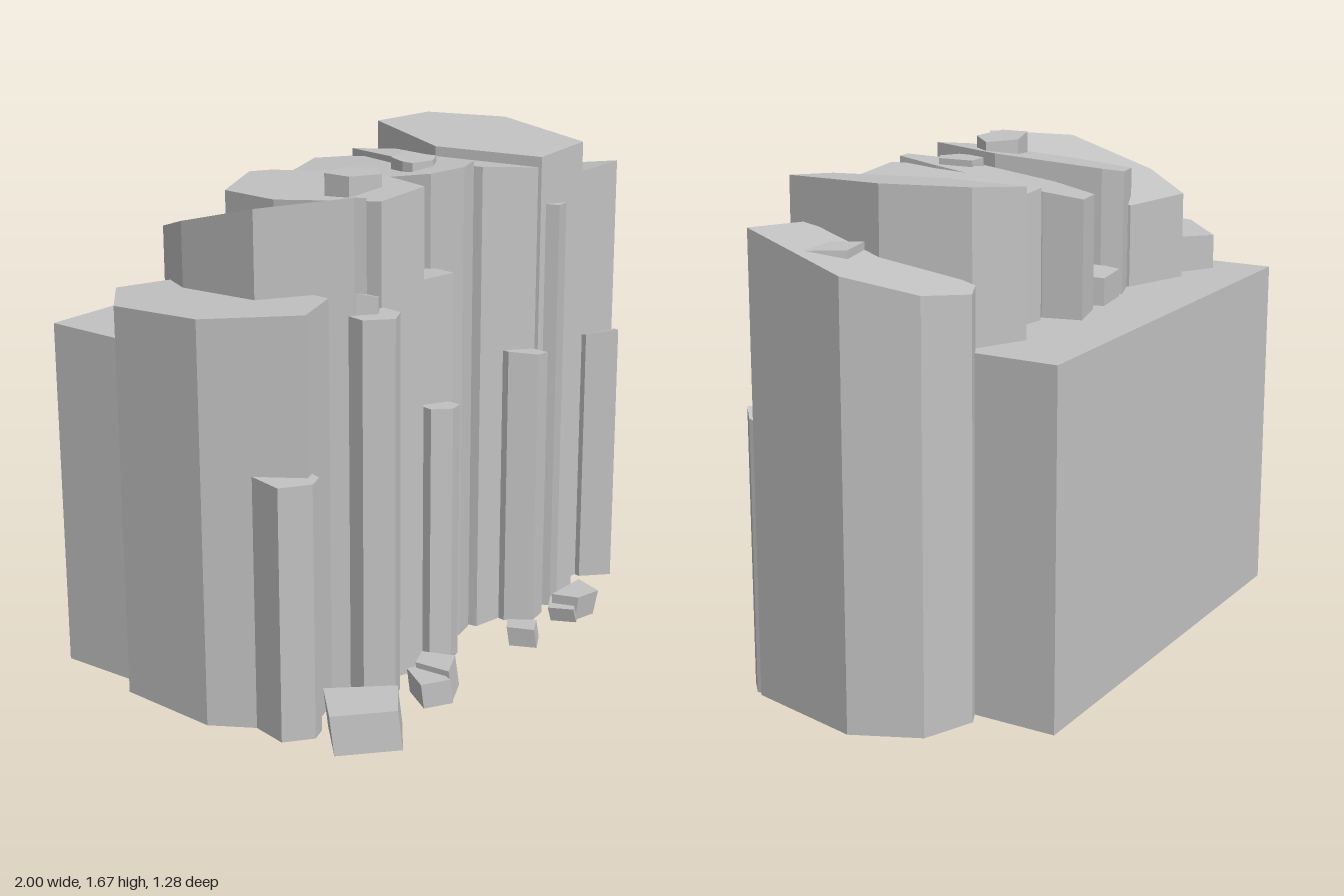
import * as THREE from 'three';

const stone = new THREE.MeshStandardMaterial({ color: 0xc2c2c2, flatShading: true });
stone.name = 'pale grey stone';

// Upright prism over a footprint of [x, z] corners. The top is a plane of height h at the
// first corner with slopes sx, sz; the foot has height base with slopes bx, bz.
// shift and grow move and scale the foot sideways for leaning boulders.
function prism(name, corners, { h, sx = 0, sz = 0, base = 0.01, bx = 0, bz = 0, shift = [0, 0], grow = 1 }) {
  const shape = new THREE.Shape(corners.map(([x, z]) => new THREE.Vector2(x, -z)));
  const geometry = new THREE.ExtrudeGeometry(shape, { depth: 1, bevelEnabled: false });
  geometry.rotateX(-Math.PI / 2);
  const [x0, z0] = corners[0];
  const cx = corners.reduce((s, c) => s + c[0], 0) / corners.length;
  const cz = corners.reduce((s, c) => s + c[1], 0) / corners.length;
  const p = geometry.attributes.position;
  for (let i = 0; i < p.count; i++) {
    const x = p.getX(i), z = p.getZ(i);
    if (p.getY(i) > 0.5) p.setY(i, h + sx * (x - x0) + sz * (z - z0));
    else {
      const y = base + bx * (x - x0) + bz * (z - z0);
      p.setXYZ(i, cx + (x - cx) * grow + shift[0], y, cz + (z - cz) * grow + shift[1]);
    }
  }
  geometry.computeVertexNormals();
  const mesh = new THREE.Mesh(geometry, stone);
  mesh.name = name;
  return mesh;
}

// Tall columns, left to right as seen from the front
const columns = [
  [[[-0.83, 0.33], [-1, 0.05], [-0.98, -0.31], [-0.8, -0.48], [-0.62, -0.37], [-0.61, 0.1], [-0.64, 0.26]],
    { h: 1.355, sx: 0.02, sz: 0.07 }],
  [[[-0.75, 0.06], [-0.715, -0.27], [-0.62, -0.44], [-0.38, -0.355], [-0.37, 0.1], [-0.43, 0.24], [-0.54, 0.28]],
    { h: 1.62, sx: -0.14, sz: 0.26 }],
  [[[-0.255, 0.33], [-0.42, 0.29], [-0.495, -0.08], [-0.455, -0.32], [-0.265, -0.385], [-0.23, -0.32], [-0.165, 0.05]],
    { h: 1.64, sx: 0.13, sz: 0.06 }],
  [[[-0.22, 0.27], [-0.28, 0], [-0.23, -0.39], [-0.08, -0.41], [-0.05, -0.31], [-0.035, 0.2], [-0.065, 0.305]],
    { h: 1.32, sz: 0.07 }],
  [[[0.035, 0.27], [-0.05, 0.2], [-0.095, 0.06], [-0.09, -0.22], [-0.02, -0.4], [0.135, -0.44], [0.165, -0.31], [0.14, 0.1], [0.115, 0.25]],
    { h: 1.645, sx: 0.1, sz: 0.12 }],
  [[[0.13, 0.275], [0.07, -0.04], [0.2, -0.325], [0.4, -0.285], [0.42, 0.1], [0.385, 0.32]],
    { h: 1.63, sx: -0.15, sz: 0.02 }],
  [[[0.6, 0.355], [0.39, 0.33], [0.31, -0.05], [0.45, -0.41], [0.625, -0.32], [0.71, -0.045]],
    { h: 1.65, sx: 0.11, sz: -0.03 }],
  [[[0.885, 0.315], [0.645, 0.275], [0.6, 0], [0.64, -0.34], [0.73, -0.38], [0.905, -0.31], [1, -0.09]],
    { h: 1.535, sx: 0.04, sz: 0.22 }],
];

// Short columns against the front: left, middle and right front corners, height, slopes
const buttresses = [
  [[-0.945, 0.31], [-0.86, 0.375], [-0.805, 0.355], [-0.775, 0.26], 0.845, 0.03, 0],
  [[-0.565, 0.33], [-0.49, 0.4], [-0.42, 0.365], [-0.405, 0.25], 1.28, 0, 0],
  [[-0.215, 0.33], [-0.15, 0.37], [-0.085, 0.35], [-0.075, 0.25], 0.905, -0.1, 0],
  [[0.23, 0.32], [0.29, 0.4], [0.37, 0.385], [0.385, 0.27], 0.99, -0.16, 0],
  [[0.415, 0.33], [0.435, 0.375], [0.515, 0.35], [0.52, 0.25], 1.465, -0.1, 0],
  [[0.725, 0.31], [0.81, 0.39], [0.87, 0.34], [0.88, 0.27], 0.935, -0.1, 0.25],
];

// Loose stones on the tops
const capStones = [
  [[[-0.42, 0.065], [-0.29, 0.03], [-0.21, 0.11], [-0.295, 0.195], [-0.415, 0.16]], { h: 1.675, sx: -0.06, base: 1.58 }],
  [[[-0.03, 0.07], [0.0, 0], [0.09, -0.01], [0.1, 0.11], [0.04, 0.14], [-0.03, 0.11]], { h: 1.648, sx: 0.03, base: 1.55 }],
  [[[-0.535, 0.28], [-0.5, 0.24], [-0.44, 0.23], [-0.43, 0.29], [-0.48, 0.325]], { h: 1.35, sx: -0.3, base: 1.25 }],
  [[[0.69, 0.02], [0.83, -0.01], [0.9, 0.1], [0.75, 0.11]], { h: 1.488, base: 1.4 }],
];

// Boulders lying in front
const boulders = [
  [[[-0.92, 0.48], [-0.78, 0.34], [-0.62, 0.51], [-0.76, 0.62]], { h: 0.14, shift: [0.005, 0.015] }],
  [[[-0.41, 0.42], [-0.33, 0.385], [-0.29, 0.49], [-0.4, 0.545]], { h: 0.115, shift: [0.01, 0.01] }],
  [[[-0.5, 0.51], [-0.43, 0.4], [-0.36, 0.43], [-0.41, 0.56]], { h: 0.095, shift: [0.01, 0.005] }],
  [[[0.06, 0.45], [0.12, 0.41], [0.18, 0.49], [0.1, 0.535]], { h: 0.08, sx: -0.04, shift: [0.01, 0.005] }],
  [[[0.35, 0.44], [0.52, 0.44], [0.475, 0.55], [0.38, 0.53]], { h: 0.1, shift: [0, -0.01], grow: 0.9 }],
  [[[0.31, 0.45], [0.4, 0.4], [0.43, 0.49], [0.35, 0.53]], { h: 0.065, shift: [0.02, 0] }],
];

export function createModel() {
  const model = new THREE.Group();
  model.name = 'columnarRockCliff';

  // Plain block closing the back, its foot dipping slightly to one corner
  model.add(prism('backSlab', [[0.67, -0.635], [-0.92, -0.645], [-0.92, 0.05], [0.66, 0.05]],
    { h: 1.18, base: 0, bx: -0.007, bz: 0.016 }));

  columns.forEach(([corners, top], i) => model.add(prism(`column${i + 1}`, corners, top)));

  buttresses.forEach(([a, b, c, d, h, sx, sz], i) => {
    const corners = [a, b, c, d, [d[0] - 0.02, 0.17], [a[0] + 0.03, 0.17]];
    model.add(prism(`frontColumn${i + 1}`, corners, { h, sx, sz }));
  });

  capStones.forEach(([corners, top], i) => model.add(prism(`topStone${i + 1}`, corners, top)));
  boulders.forEach(([corners, top], i) => model.add(prism(`boulder${i + 1}`, corners, top)));
  return model;
}
